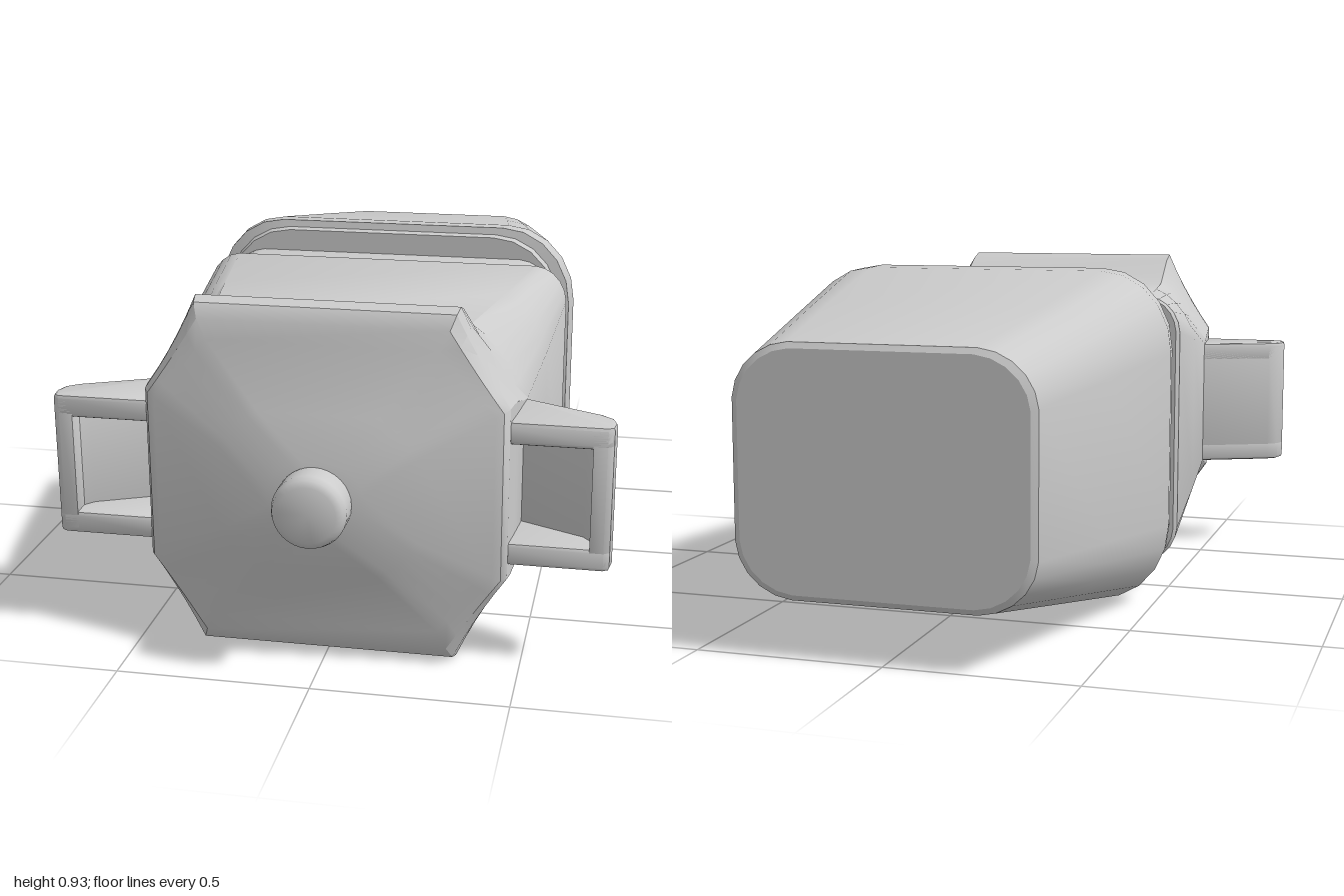
import * as THREE from 'three';
import { toCreasedNormals } from 'three/addons/utils/BufferGeometryUtils.js';

const MID = 0.47; // height of the long axis
const material = new THREE.MeshStandardMaterial({ color: 0xcccccc });
const CORNER_STEPS = 5;

// Rectangle with cut corners: cx, cy size the cut; bulge 0 = straight, 1 = round, below 0 = hollow
function ring([z, hw, hh, cx, cy, bulge]) {
  const corner = [];
  for (let i = 0; i <= CORNER_STEPS; i++) {
    const t = i / CORNER_STEPS, a = t * Math.PI / 2;
    const u = THREE.MathUtils.lerp(1 - t, Math.cos(a), bulge);
    const v = THREE.MathUtils.lerp(t, Math.sin(a), bulge);
    corner.push([hw - cx + cx * u, hh - cy + cy * v]);
  }
  const back = [...corner].reverse();
  return [
    ...corner,
    ...back.map(([x, y]) => [-x, y]),
    ...corner.map(([x, y]) => [-x, -y]),
    ...back.map(([x, y]) => [x, -y]),
  ].map(([x, y]) => [x, y + MID, z]);
}

// Skin through rings ordered from back to front, closed at both ends
function loft(name, sections, crease = 0.5) {
  const rings = sections.map(ring);
  const n = rings[0].length;
  const positions = rings.flat(2);
  const index = [];
  for (let i = 0; i < rings.length - 1; i++) {
    for (let j = 0; j < n; j++) {
      const k = (j + 1) % n;
      const a = i * n + j, b = i * n + k, c = b + n, d = a + n;
      index.push(a, b, c, a, c, d);
    }
  }
  const first = rings.length * n, last = (rings.length - 1) * n;
  positions.push(0, MID, sections[0][0], 0, MID, sections[sections.length - 1][0]);
  for (let j = 0; j < n; j++) {
    const k = (j + 1) % n;
    index.push(first, k, j, first + 1, last + j, last + k);
  }
  const geometry = new THREE.BufferGeometry();
  geometry.setAttribute('position', new THREE.Float32BufferAttribute(positions, 3));
  geometry.setIndex(index);
  return mesh(name, toCreasedNormals(geometry, crease));
}

function mesh(name, geometry) {
  const m = new THREE.Mesh(geometry, material);
  m.name = name;
  return m;
}

// Plan outline in x and z, raised from y0 to y1
function slab(name, outline, y0, y1) {
  const bevel = 0.01;
  const shape = new THREE.Shape(outline.map(([x, z]) => new THREE.Vector2(x, z)));
  const geometry = new THREE.ExtrudeGeometry(shape, {
    depth: y1 - y0 - 2 * bevel, bevelThickness: bevel, bevelSize: bevel, bevelOffset: -bevel, bevelSegments: 2,
  });
  geometry.rotateX(Math.PI / 2).translate(0, y1 - bevel, 0);
  return mesh(name, toCreasedNormals(geometry, 0.6));
}

// Scoop-shaped side grip, open to the front
function createHandle(name) {
  const handle = new THREE.Group();
  handle.name = name;
  const outer = [[0.43, 0.56], [0.49, 0.59], [0.68, 0.68], [0.71, 0.705], [0.72, 0.74], [0.715, 0.775], [0.70, 0.785]];
  const plate = [...outer, [0.43, 0.785]];
  const wall = [...outer, [0.665, 0.785], [0.665, 0.735], [0.645, 0.71], [0.43, 0.61]];
  handle.add(
    slab('handleTop', plate, 0.13, 0.19),
    slab('handleBottom', plate, -0.19, -0.13),
    slab('handleWall', wall, -0.185, 0.185),
  );
  handle.position.y = MID;
  return handle;
}

export function createModel() {
  const model = new THREE.Group();
  model.name = 'model';

  // Tapered rear shell with a stepped rim
  model.add(loft('rearShell', [
    [-1.0, 0.375, 0.305, 0.14, 0.13, 0.9],
    [-0.99, 0.392, 0.32, 0.15, 0.14, 0.9],
    [-0.6, 0.465, 0.39, 0.17, 0.18, 0.95],
    [-0.21, 0.54, 0.46, 0.2, 0.22, 1],
    [-0.145, 0.53, 0.465, 0.2, 0.22, 1],
    [-0.14, 0.5, 0.445, 0.19, 0.2, 1],
    [-0.12, 0.495, 0.44, 0.19, 0.2, 1],
  ]));

  // Recessed joint
  model.add(loft('neck', [
    [-0.14, 0.485, 0.378, 0.1, 0.1, 0.9],
    [-0.03, 0.485, 0.378, 0.1, 0.1, 0.9],
  ]));

  // Main body, flaring into a lip at the front and closing as a shallow pyramid
  model.add(loft('body', [
    [-0.05, 0.52, 0.375, 0.08, 0.09, 0.9],
    [-0.04, 0.53, 0.381, 0.09, 0.1, 0.9],
    [0.3, 0.508, 0.381, 0.12, 0.15, 0.6],
    [0.59, 0.485, 0.381, 0.145, 0.19, 0.3],
    [0.64, 0.48, 0.4, 0.145, 0.2, 0.1],
    [0.71, 0.473, 0.45, 0.14, 0.23, -0.1],
    [0.755, 0.468, 0.466, 0.135, 0.24, -0.15],
    [0.79, 0.463, 0.455, 0.135, 0.23, -0.12],
    [0.815, 0.45, 0.42, 0.135, 0.2, -0.05],
    [0.823, 0.43, 0.37, 0.14, 0.16, 0],
    [0.875, 0.25, 0.21, 0.1, 0.1, 0.3],
    [0.915, 0.12, 0.1, 0.09, 0.08, 0.9],
  ], 0.55));

  // Round front button
  const profile = [[0, 0.89], [0.088, 0.89], [0.094, 0.92], [0.094, 0.975], [0.088, 0.992], [0.072, 1.0], [0, 1.0]];
  const button = mesh('frontButton', toCreasedNormals(
    new THREE.LatheGeometry(profile.map(([r, h]) => new THREE.Vector2(r, h)), 32), 0.8));
  button.rotation.x = Math.PI / 2;
  button.position.y = MID - 0.004;
  model.add(button);

  // Matching side grips; the right one is the left one turned over
  const leftHandle = createHandle('leftHandle');
  const rightHandle = createHandle('rightHandle');
  rightHandle.rotation.z = Math.PI;
  model.add(leftHandle, rightHandle);

  return model;
}
